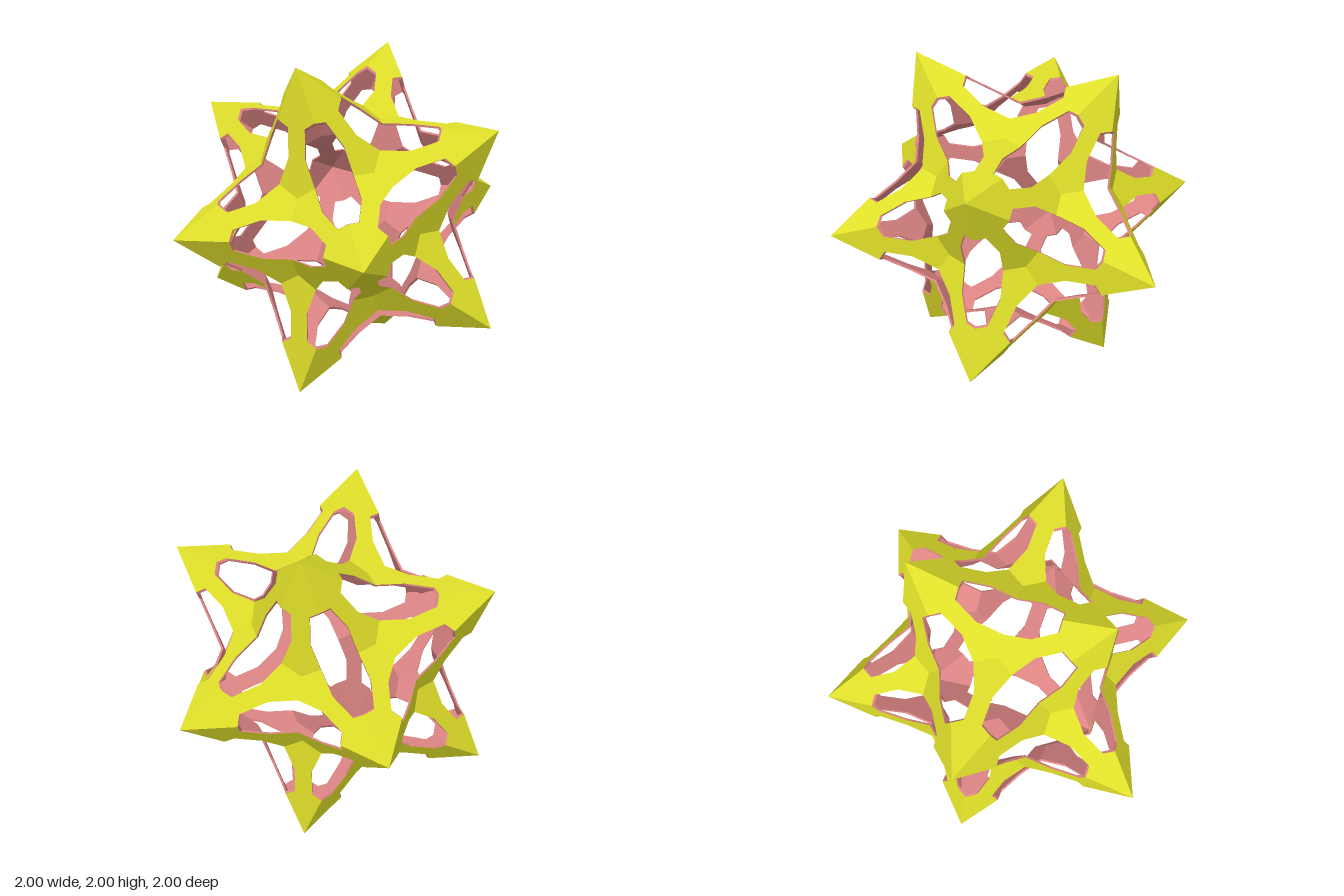
import * as THREE from 'three';

const G = (Math.sqrt(5) - 1) / 2; // 0.618
const PULL = 2 * G * G;           // how far each valley point is pulled in, 0.764
const INNER = 0.98;               // inner skin relative to the outer skin

// half-outline of one arm: [distance from tip, half width]
const ROWS = [[PULL * 0.4045, G ** 3 / 2], [0.348, 0.055], [0.526, 0.055], [0.691, G ** 3 / 2]];

// the twelve spike tips
function tips() {
  const out = [];
  for (const a of [1, -1]) for (const b of [G, -G]) {
    out.push(new THREE.Vector3(0, a, b), new THREE.Vector3(a, b, 0), new THREE.Vector3(b, 0, a));
  }
  return out;
}

function meshFrom(points, color, name) {
  const geo = new THREE.BufferGeometry().setFromPoints(points);
  geo.computeVertexNormals();
  const mesh = new THREE.Mesh(geo, new THREE.MeshStandardMaterial({ color, flatShading: true }));
  mesh.name = name;
  return mesh;
}

// one kite-shaped arm from tip a, in the dimple between tips a, b, c
function addArm(a, b, c, outer, inner) {
  const valley = q => a.clone().add(q).multiplyScalar(PULL / 2);
  const bottom = a.clone().add(b).add(c).multiplyScalar(0.7082 / 3);
  const along = bottom.clone().sub(a).normalize();
  const across = valley(b).sub(valley(c)).normalize();
  const at = (u, v) => a.clone().addScaledVector(along, u).addScaledVector(across, v);
  const L = ROWS.map(([u, v]) => at(u, v));
  const R = ROWS.map(([u, v]) => at(u, -v));
  const shrink = p => p.clone().multiplyScalar(INNER);

  // skin: tip triangle, strips along the arm, triangle at the dimple bottom
  const skin = [a, L[0], R[0]];
  for (let i = 0; i < 3; i++) {
    skin.push(L[i], L[i + 1], R[i + 1], L[i], R[i + 1], R[i]);
  }
  skin.push(L[3], bottom, R[3]);
  outer.push(...skin);
  inner.push(...skin.map(shrink).reverse());

  // walls around the openings
  const wall = (p, q) => inner.push(p, q, shrink(q), p, shrink(q), shrink(p));
  for (let i = 0; i < 3; i++) {
    wall(L[i + 1], L[i]);
    wall(R[i], R[i + 1]);
  }
}

export function createModel() {
  const model = new THREE.Group();
  model.name = 'openStar';
  const V = tips();
  const near = (p, q) => Math.abs(p.distanceTo(q) - 2 * G) < 0.01;

  // each spike has five arms, one for every triangle of neighbouring tips
  for (const a of V) {
    const outer = [], inner = [];
    for (const b of V) for (const c of V) {
      if (!near(a, b) || !near(a, c) || !near(b, c)) continue;
      if (b.clone().cross(c).dot(a) < 0) continue; // keep counter-clockwise order
      addArm(a, b, c, outer, inner);
    }
    const spike = new THREE.Group();
    spike.name = 'spike';
    spike.add(meshFrom(outer, 0xe0e02a, 'outerSkin'), meshFrom(inner, 0xdc8484, 'innerSkin'));
    spike.position.y = 1;
    model.add(spike);
  }
  return model;
}
